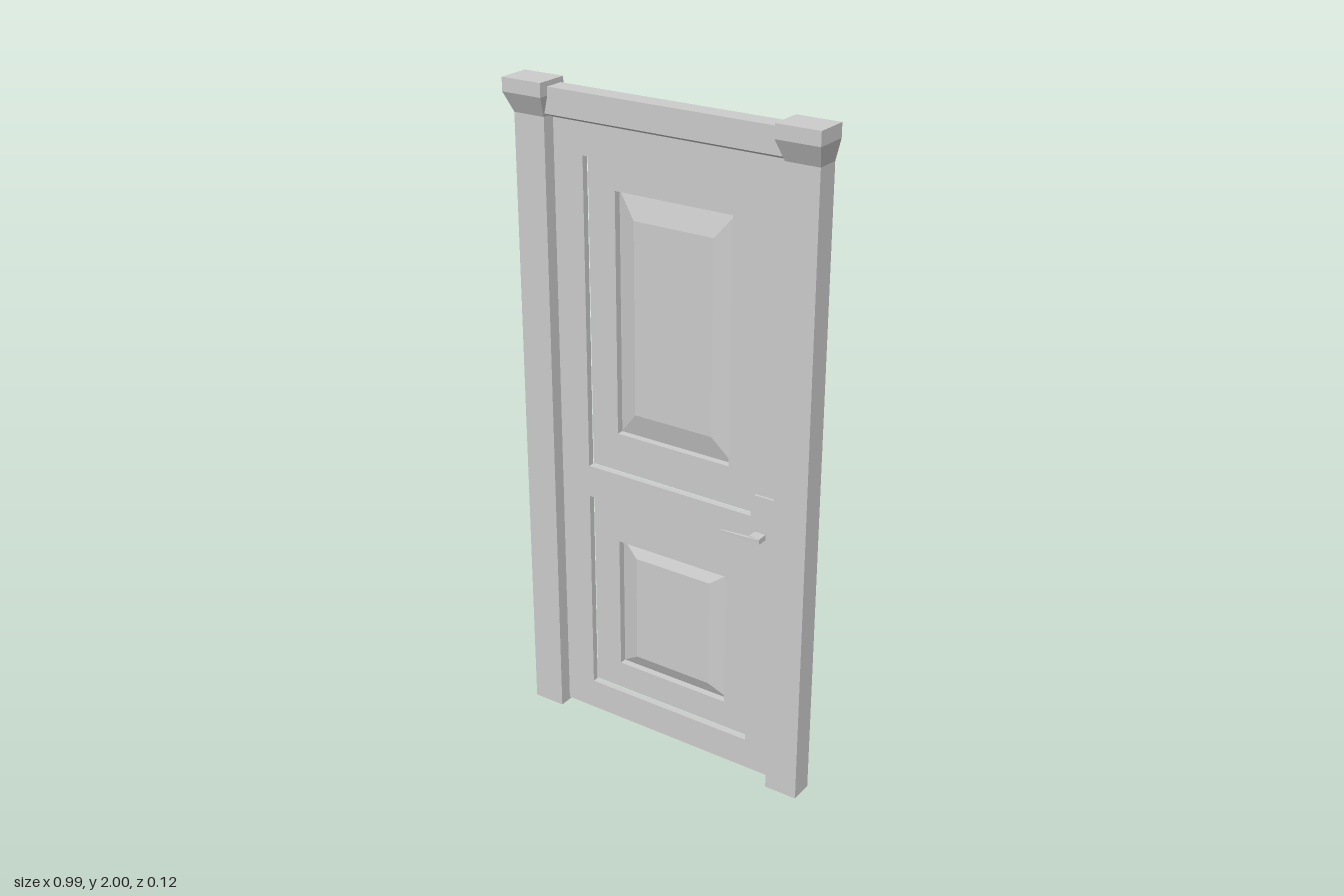
import * as THREE from 'three';

const solid = new THREE.MeshStandardMaterial({ color: 0xcccccc, flatShading: true });
const sheet = new THREE.MeshStandardMaterial({ color: 0xcccccc, flatShading: true, side: THREE.DoubleSide });

// Joins equal-length rows of points with quads; closed rows wrap, cap fills the last row
function loft(name, rows, closed, cap) {
  const pos = [];
  const quad = (a, b, c, d) => [a, b, c, a, c, d].forEach(p => pos.push(...p));
  for (let r = 0; r < rows.length - 1; r++) {
    const n = rows[r].length;
    for (let i = 0; i < (closed ? n : n - 1); i++) {
      const j = (i + 1) % n;
      quad(rows[r][i], rows[r][j], rows[r + 1][j], rows[r + 1][i]);
    }
  }
  if (cap) quad(...rows[rows.length - 1]);
  const g = new THREE.BufferGeometry();
  g.setAttribute('position', new THREE.Float32BufferAttribute(pos, 3));
  g.computeVertexNormals();
  const m = new THREE.Mesh(g, sheet);
  m.name = name;
  return m;
}

function box(name, x0, x1, y0, y1, z0, z1) {
  const m = new THREE.Mesh(new THREE.BoxGeometry(x1 - x0, y1 - y0, z1 - z0), solid);
  m.position.set((x0 + x1) / 2, (y0 + y1) / 2, (z0 + z1) / 2);
  m.name = name;
  return m;
}

// Sunken panel: flat border, well, then a bevelled raised field
function panel(name, y0, y1, wellY0, wellY1, fieldY0, fieldY1) {
  const rect = (x, a, b, z) => [[-x, a, z], [x, a, z], [x, b, z], [-x, b, z]];
  return loft(name, [
    rect(0.28, y0, y1, -0.037),
    rect(0.19, wellY0, wellY1, -0.037),
    rect(0.19, wellY0, wellY1, -0.059),
    rect(0.13, fieldY0, fieldY1, -0.04),
  ], true, true);
}

export function createModel() {
  const model = new THREE.Group();
  model.name = 'panelledDoor';

  // Door frame: hollow posts with flared capitals, open at the back
  const frame = new THREE.Group();
  frame.name = 'doorFrame';
  for (const s of [-1, 1]) {
    const side = s < 0 ? 'right' : 'left';
    const row = (y, xi, xo, zf) =>
      [[s * xi, y, -0.046], [s * xi, y, zf], [s * xo, y, zf], [s * xo, y, -0.046]];
    frame.add(loft(side + 'Post', [row(0, 0.378, 0.48, 0.026), row(1.9, 0.378, 0.48, 0.026)]));
    frame.add(loft(side + 'Capital', [
      row(1.9, 0.378, 0.48, 0.026),
      row(1.96, 0.364, 0.495, 0.056),
      row(2, 0.364, 0.495, 0.056),
    ], false, true));
  }

  // Lintel: top, front and sloping underside, open at the back
  const profile = [[1.985, -0.034], [1.985, 0.026], [1.91, 0.026], [1.893, -0.014]];
  frame.add(loft('lintel', [-0.378, 0.378].map(x => profile.map(([y, z]) => [x, y, z]))));
  model.add(frame);

  // Door leaf: stiles, rails and panels
  const door = new THREE.Group();
  door.name = 'doorLeaf';
  door.add(box('rightStile', -0.378, -0.28, 0.008, 1.895, -0.034, -0.014));
  door.add(box('leftStile', 0.28, 0.378, 0.008, 1.895, -0.034, -0.014));
  [['bottomRail', 0.008, 0.105], ['middleRail', 0.76, 0.86], ['topRail', 1.8, 1.895]]
    .forEach(([name, y0, y1]) => door.add(box(name, -0.28, 0.28, y0, y1, -0.034, -0.014)));
  door.add(panel('lowerPanel', 0.105, 0.76, 0.193, 0.623, 0.235, 0.58));
  door.add(panel('upperPanel', 0.86, 1.8, 0.98, 1.71, 1.053, 1.635));
  model.add(door);

  // Handle: back plate, stem and tapering lever
  const handle = new THREE.Group();
  handle.name = 'handle';
  handle.add(box('handlePlate', 0.295, 0.36, 0.65, 0.933, -0.014, -0.006));
  handle.add(box('handleStem', 0.3, 0.335, 0.803, 0.82, -0.006, 0.024));
  const end = (x, y0, y1, z0, z1) => [[x, y0, z0], [x, y0, z1], [x, y1, z1], [x, y1, z0]];
  handle.add(loft('handleLever', [
    end(0.2, 0.803, 0.803, 0.018, 0.022),
    end(0.2, 0.803, 0.809, 0.018, 0.022),
    end(0.3, 0.806, 0.816, 0.019, 0.029),
    end(0.337, 0.808, 0.822, 0.022, 0.032),
  ], true, true));
  model.add(handle);

  return model;
}
